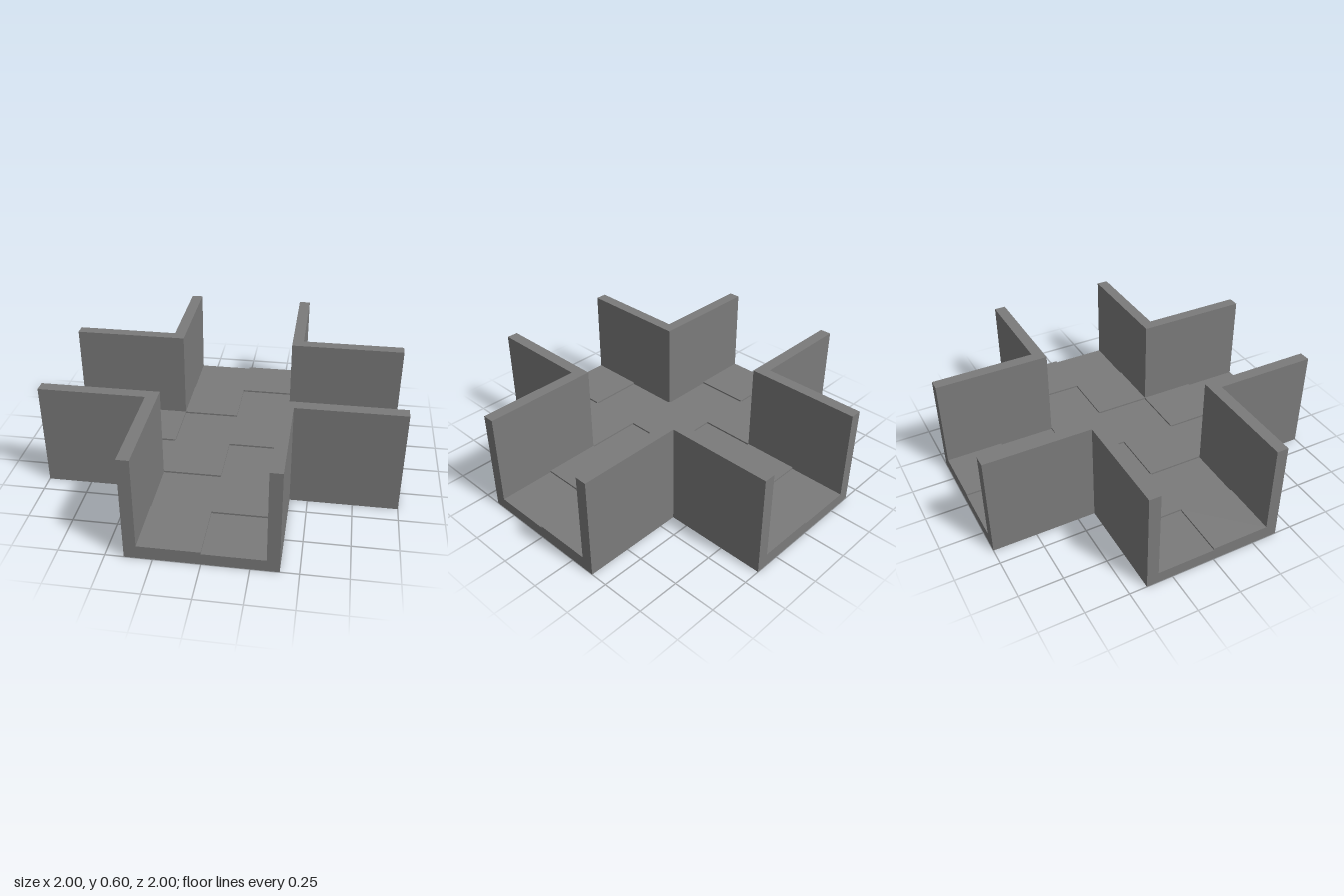
import * as THREE from 'three';

const ARM = 1;                // reach of each corridor arm
const OUTER = 0.4;            // half width outside the walls
const INNER = 1 / 3;          // half width inside the walls, also the paving size
const BASE = OUTER - INNER;   // slab thickness, same as the walls
const RAISED = BASE + 0.01;   // top of the raised paving
const TOP = 0.6;              // top of the walls

const material = new THREE.MeshStandardMaterial({ color: 0x7b7b7b, flatShading: true });

// Extrudes a plan outline upwards between two heights
function prism(points, y0, y1) {
  const shape = new THREE.Shape(points.map(([x, y]) => new THREE.Vector2(x, y)));
  const geometry = new THREE.ExtrudeGeometry(shape, { depth: y1 - y0, bevelEnabled: false });
  return geometry.rotateX(-Math.PI / 2).translate(0, y0, 0);
}

function addMesh(parent, name, geometry) {
  const mesh = new THREE.Mesh(geometry, material);
  mesh.name = name;
  parent.add(mesh);
  return mesh;
}

export function createModel() {
  const model = new THREE.Group();
  model.name = 'corridorCrossing';

  // Cross-shaped floor slab
  const a = ARM, o = OUTER, n = INNER;
  addMesh(model, 'floorSlab', prism([
    [-o, -a], [o, -a], [o, -o], [a, -o], [a, o], [o, o],
    [o, a], [-o, a], [-o, o], [-a, o], [-a, -o], [-o, -o],
  ], 0, BASE));

  // L-shaped corner walls, one per quadrant
  const walls = new THREE.Group();
  walls.name = 'cornerWalls';
  model.add(walls);
  const wallGeometry = prism([[n, n], [a, n], [a, o], [o, o], [o, a], [n, a]], BASE, TOP);
  for (let k = 0; k < 4; k++) {
    addMesh(walls, 'cornerWall', wallGeometry).rotation.y = k * Math.PI / 2;
  }

  // Raised paving in a checkerboard along both corridors
  const paving = new THREE.Group();
  paving.name = 'raisedPaving';
  model.add(paving);
  const tile = new THREE.BoxGeometry(n, RAISED - BASE, n);
  for (let i = -3; i < 3; i++) {
    for (let j = -3; j < 3; j++) {
      const x = (i + 0.5) * n, z = (j + 0.5) * n;
      const inCross = Math.min(Math.abs(x), Math.abs(z)) < n;
      if (!inCross || (i + j) % 2 === 0) continue;
      addMesh(paving, 'pavingTile', tile).position.set(x, (BASE + RAISED) / 2, z);
    }
  }

  return model;
}
